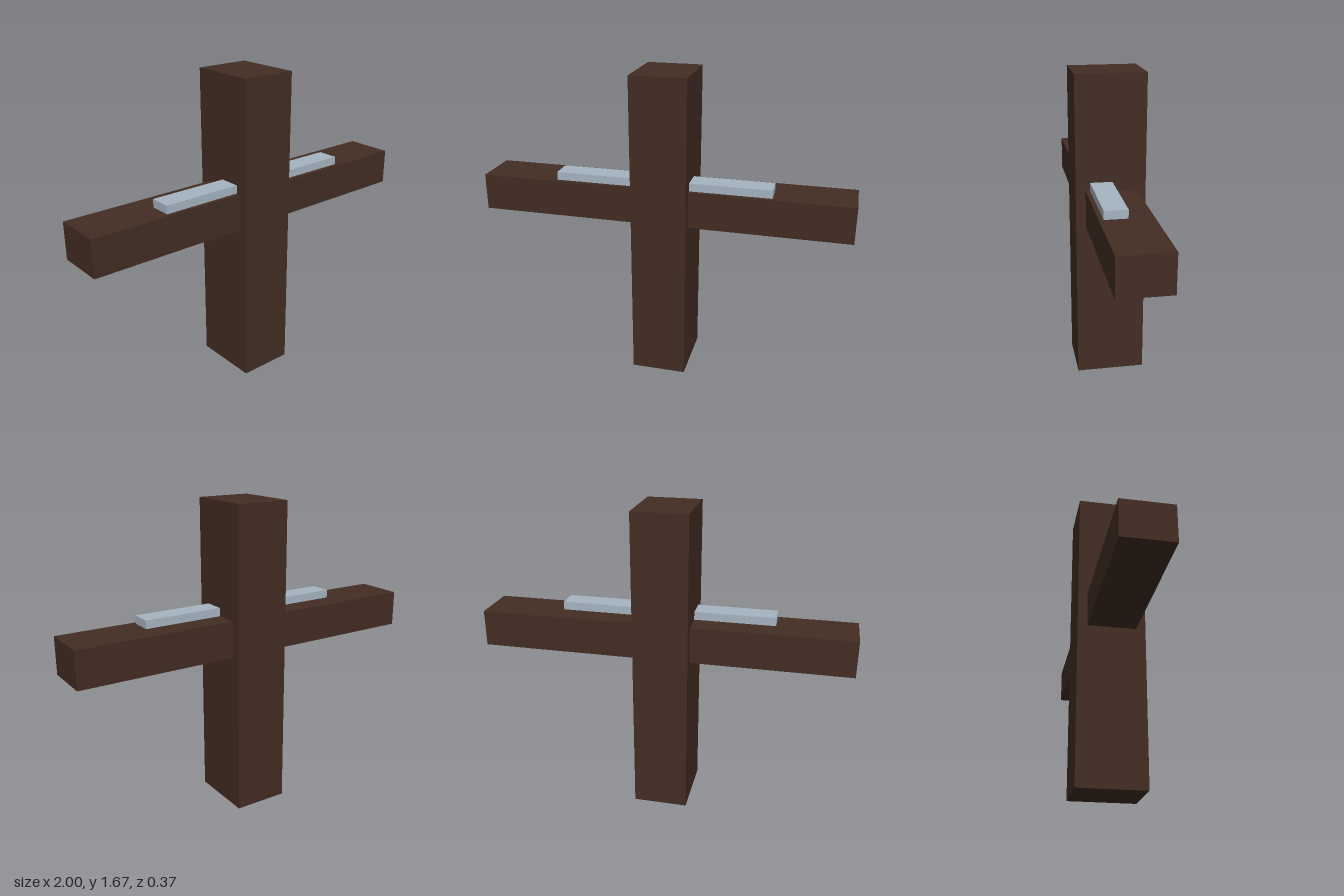
import * as THREE from 'three';

const wood = new THREE.MeshStandardMaterial({ color: 0x432d23 });
wood.name = 'dark wood';
const metal = new THREE.MeshStandardMaterial({ color: 0xa6b5c2 });
metal.name = 'pale steel';

// Box given by its minimum and maximum corners
function block(name, material, min, max) {
  const size = max.map((v, i) => v - min[i]);
  const mesh = new THREE.Mesh(new THREE.BoxGeometry(...size), material);
  mesh.position.set(...max.map((v, i) => (v + min[i]) / 2));
  mesh.name = name;
  return mesh;
}

export function createModel() {
  const model = new THREE.Group();
  model.name = 'crossPost';
  model.add(
    // Upright post
    block('post', wood, [-0.148, 0, -0.184], [0.148, 1.667, 0.184]),
    // Crossbeam running through the post
    block('crossbeam', wood, [-1, 0.87, -0.132], [1, 1.067, 0.132]),
    // Flat bar lying on the crossbeam, towards the front
    block('bar', metal, [-0.58, 1.067, -0.008], [0.58, 1.111, 0.109]),
  );
  return model;
}
